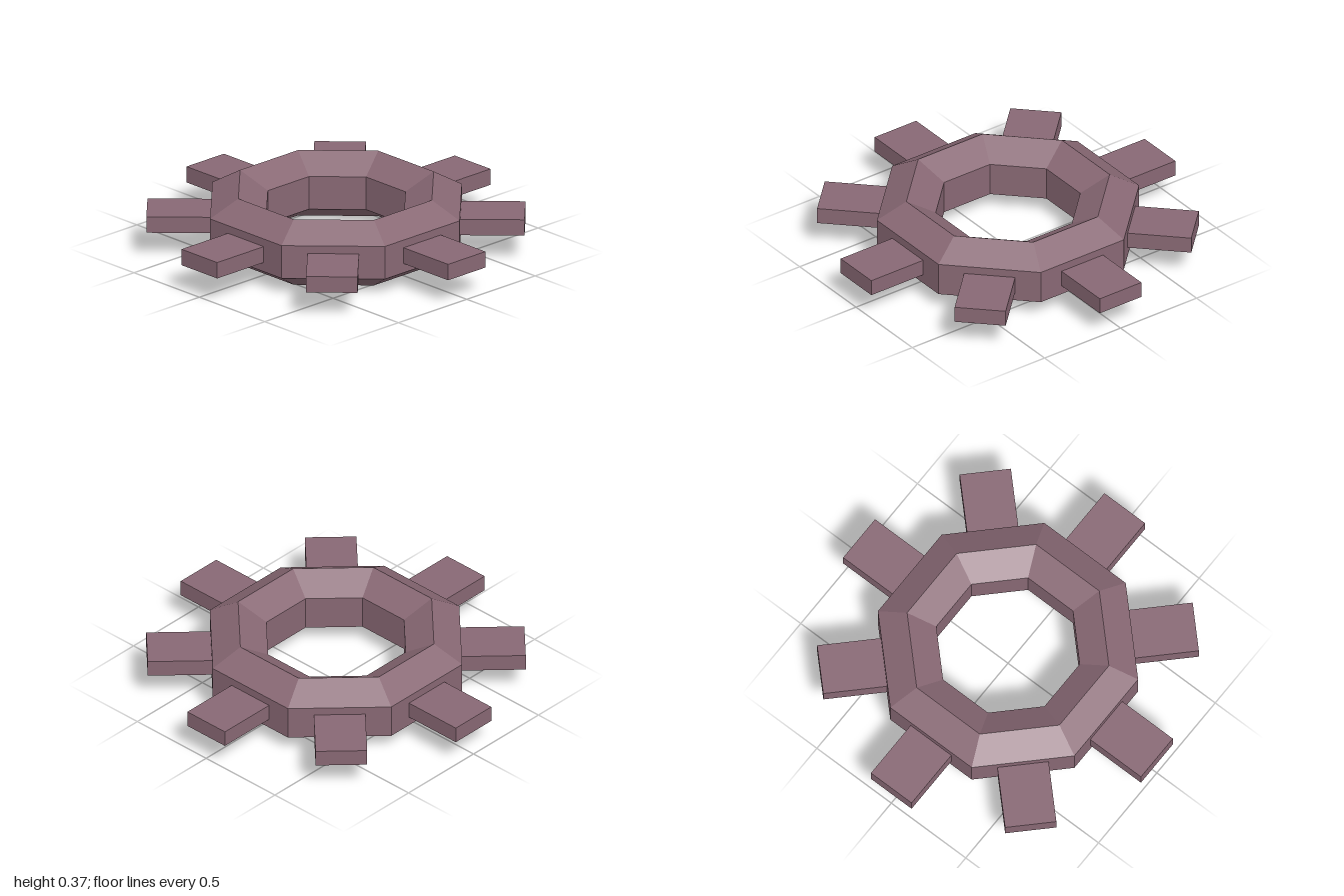
import * as THREE from 'three';

export function createModel() {
  const model = new THREE.Group();
  model.name = 'spokedRing';

  const mauve = new THREE.MeshStandardMaterial({ color: 0x886874 });
  mauve.name = 'dusty mauve';

  const sides = 8;
  const midY = 0.185;

  // Octagonal ring: a regular hexagon section swept in eight straight segments
  const ringRadius = 0.554, tubeRadius = 0.185;
  const section = [];
  for (let i = 0; i <= 6; i++) {
    const a = -Math.PI / 6 + (i * Math.PI) / 3;
    section.push(new THREE.Vector2(
      ringRadius + tubeRadius * Math.cos(a),
      midY + tubeRadius * Math.sin(a)
    ));
  }
  const ringGeometry = new THREE.LatheGeometry(section, sides, Math.PI / sides).toNonIndexed();
  ringGeometry.computeVertexNormals(); // flat facets
  const ring = new THREE.Mesh(ringGeometry, mauve);
  ring.name = 'ring';
  model.add(ring);

  // Flat teeth, one pointing out from the middle of each ring side
  const inner = 0.5, outer = 1;
  const toothGeometry = new THREE.BoxGeometry(outer - inner, 0.09, 0.273);
  toothGeometry.translate((inner + outer) / 2, 0, 0);
  for (let i = 0; i < sides; i++) {
    const tooth = new THREE.Mesh(toothGeometry, mauve);
    tooth.name = `tooth${i + 1}`;
    tooth.position.y = 0.189;
    tooth.rotation.y = (i * 2 * Math.PI) / sides;
    model.add(tooth);
  }

  return model;
}
